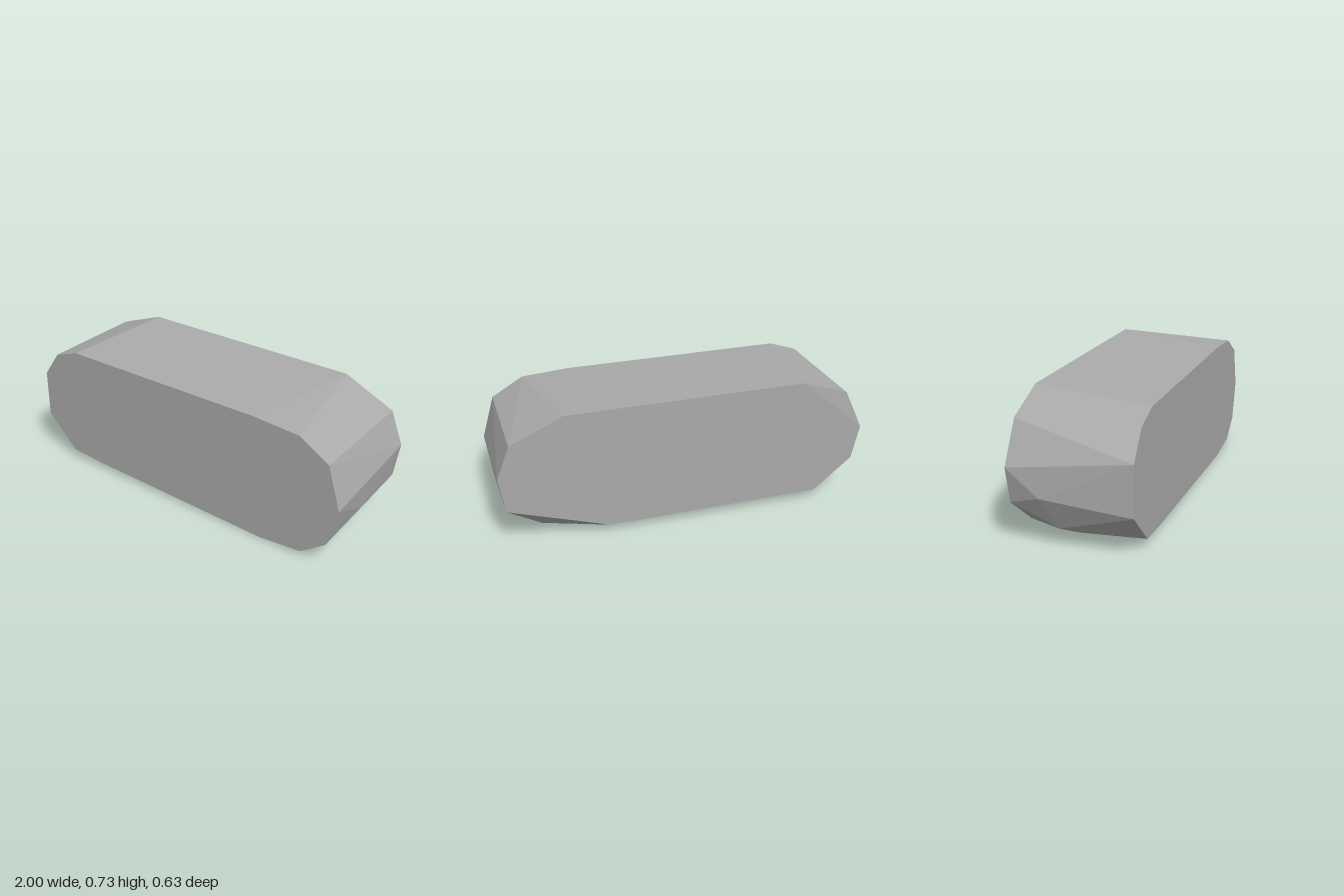
import * as THREE from 'three';
import { ConvexGeometry } from 'three/addons/geometries/ConvexGeometry.js';

const HALF_DEPTH = 0.315;

// Outline of the front face, clockwise from the top left
const front = [
  [-0.71, 0.697], [0.5, 0.697], [0.76, 0.68], [0.93, 0.58], [1, 0.345],
  [0.94, 0.125], [0.8, 0.023], [0.55, 0], [-0.57, 0.035], [-0.78, 0.05],
  [-0.97, 0.235], [-0.97, 0.5], [-0.865, 0.645],
];

// Outline of the back face, slightly taller, with its lower corners cut away
const back = [
  [-0.64, 0.728], [0.65, 0.728], [0.93, 0.6], [1, 0.42], [0.97, 0.228],
  [0.435, 0.046], [-0.746, 0.05], [-0.96, 0.225], [-1, 0.417],
];

// Corners between the two faces, along the worn lower edge
const middle = [
  [0.98, 0.215, 0.045], [0.88, 0.062, 0.045], [0.78, 0.052, -0.2],
  [0.7, 0.009, 0.04], [0.55, 0.003, -0.03], [0.5, 0.018, -0.17],
  [-0.71, 0.01, 0], [-0.7, 0.02, -0.17], [-0.86, 0.07, 0],
  [-0.91, 0.1, -0.085], [-0.997, 0.28, -0.15], [-0.9, 0.635, -0.305],
];

export function createModel() {
  const group = new THREE.Group();
  group.name = 'stoneBlock';

  const stoneGrey = new THREE.MeshStandardMaterial({ color: 0xaaaaaa });
  stoneGrey.name = 'stone grey';

  // Faceted block wrapped around the corners
  const corners = [
    ...front.map(([x, y]) => new THREE.Vector3(x, y, HALF_DEPTH)),
    ...back.map(([x, y]) => new THREE.Vector3(x, y, -HALF_DEPTH)),
    ...middle.map((p) => new THREE.Vector3(...p)),
  ];
  const block = new THREE.Mesh(new ConvexGeometry(corners), stoneGrey);
  block.name = 'block';
  group.add(block);

  return group;
}
